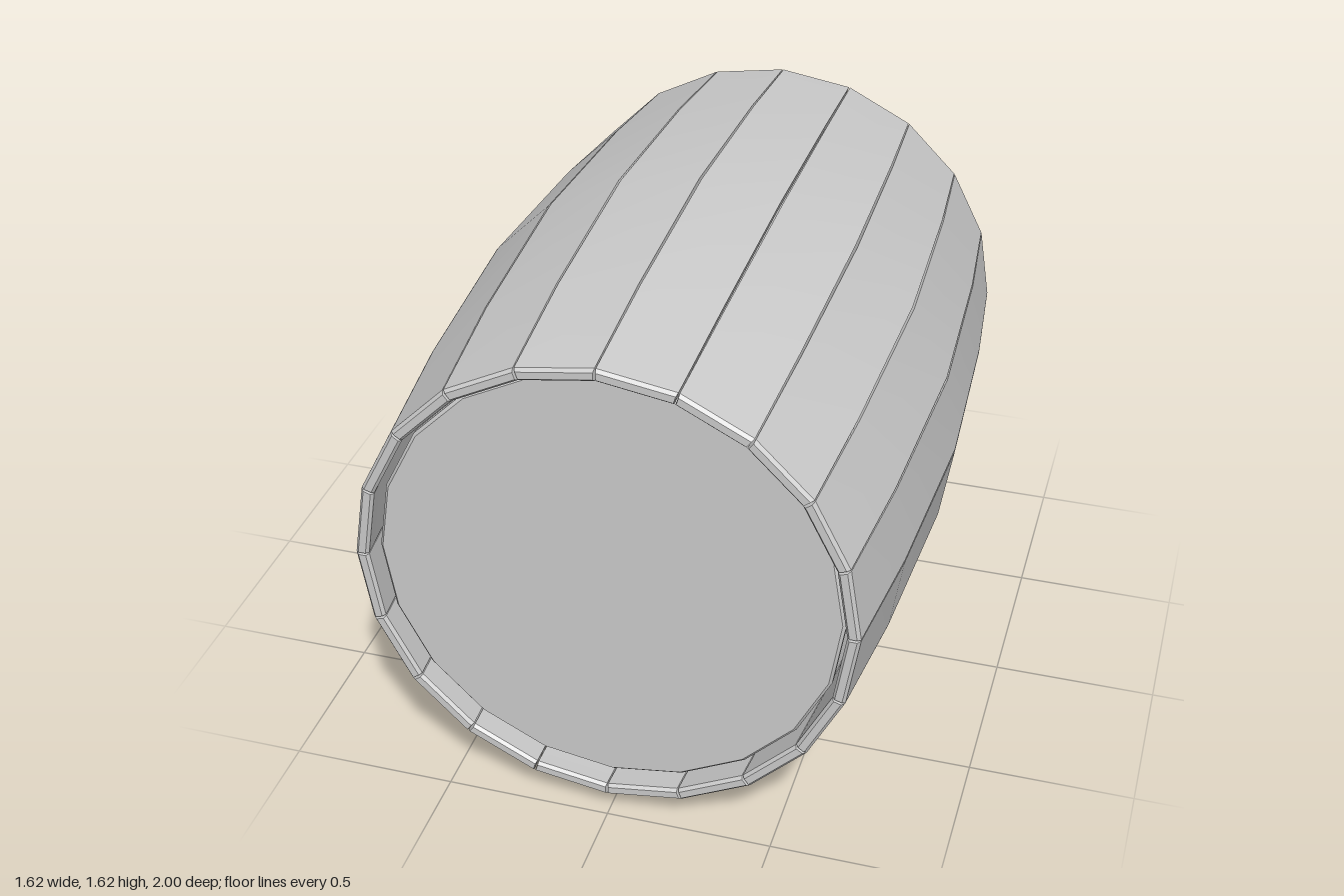
import * as THREE from 'three';
import { toCreasedNormals } from 'three/addons/utils/BufferGeometryUtils.js';

const STAVES = 20;
const HALF = Math.PI / STAVES;
const CENTER_Y = 0.815;

// Bulging stave sections: [z, outer radius, inner radius, half gap to the next stave]
const SECTIONS = [
  [-1, 0.73, 0.708, 0.004],
  [-0.99, 0.739, 0.7, 0.0018],
  [-0.6, 0.78, 0.741, 0.003],
  [0, 0.812, 0.773, 0.004],
  [0.6, 0.78, 0.741, 0.003],
  [0.99, 0.739, 0.7, 0.0018],
  [1, 0.73, 0.708, 0.004],
];

// One stave, lying at the top of the barrel, lofted through the sections
function staveGeometry() {
  const rings = SECTIONS.map(([z, ro, ri, gap]) => {
    const wo = ro * Math.sin(HALF) - gap;
    const wi = ri * Math.sin(HALF) - gap;
    const yo = ro * Math.cos(HALF);
    const yi = ri * Math.cos(HALF);
    return [[-wo, yo, z], [-wi, yi, z], [wi, yi, z], [wo, yo, z]];
  });
  const pos = [];
  const quad = (a, b, c, d) => pos.push(...a, ...b, ...c, ...a, ...c, ...d);
  for (let s = 0; s < rings.length - 1; s++) {
    const A = rings[s], B = rings[s + 1];
    for (let i = 0; i < 4; i++) {
      const j = (i + 1) % 4;
      quad(A[i], A[j], B[j], B[i]);
    }
  }
  const back = rings[0], front = rings[rings.length - 1];
  quad(front[0], front[1], front[2], front[3]);
  quad(back[3], back[2], back[1], back[0]);
  const geo = new THREE.BufferGeometry();
  geo.setAttribute('position', new THREE.Float32BufferAttribute(pos, 3));
  return toCreasedNormals(geo, 0.25);
}

// Chamfered twenty-sided disc that closes an end
function headGeometry() {
  const r = 0.686, t = 0.02, c = 0.009;
  const profile = [[0, -t], [r - c, -t], [r, -t + c], [r, t - c], [r - c, t], [0, t]]
    .map(([x, y]) => new THREE.Vector2(x, y));
  const geo = new THREE.LatheGeometry(profile, STAVES).rotateX(Math.PI / 2);
  return toCreasedNormals(geo, 0.25);
}

export function createModel() {
  const material = new THREE.MeshStandardMaterial({ color: 0xcccccc });
  const barrel = new THREE.Group();
  barrel.name = 'barrel';
  barrel.position.y = CENTER_Y;

  // Ring of staves with narrow gaps between them
  const staves = new THREE.Group();
  staves.name = 'staves';
  const staveGeo = staveGeometry();
  for (let i = 0; i < STAVES; i++) {
    const stave = new THREE.Mesh(staveGeo, material);
    stave.name = `stave${i + 1}`;
    stave.rotation.z = (2 * i + 1) * HALF;
    staves.add(stave);
  }
  barrel.add(staves);

  // Slightly recessed heads
  const headGeo = headGeometry();
  for (const [name, side] of [['frontHead', 1], ['backHead', -1]]) {
    const head = new THREE.Mesh(headGeo, material);
    head.name = name;
    head.position.z = side * 0.925;
    barrel.add(head);
  }

  const model = new THREE.Group();
  model.name = 'barrelModel';
  model.add(barrel);
  return model;
}
